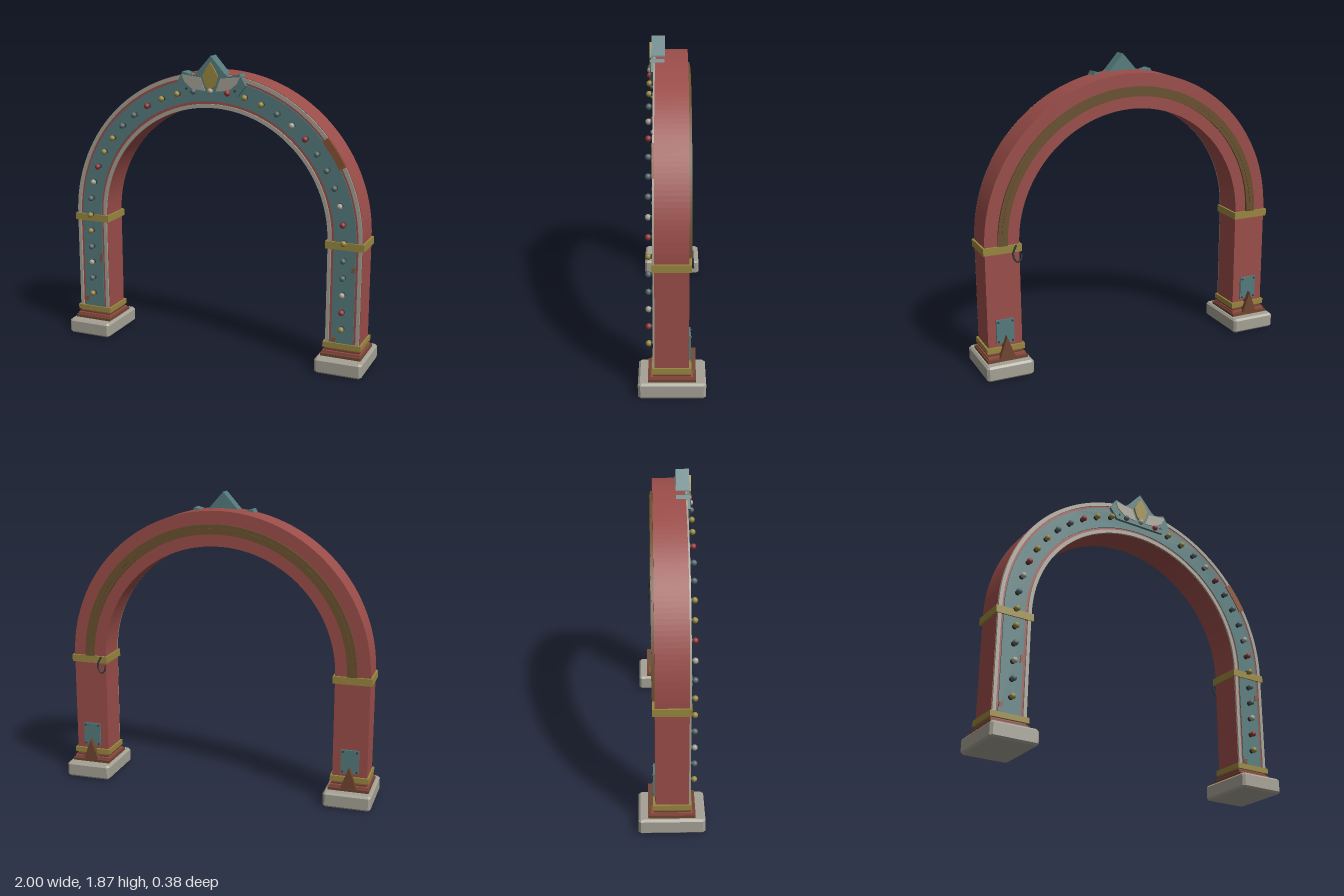
import * as THREE from 'three';

const paint = (name, color) => {
  const m = new THREE.MeshStandardMaterial({ color });
  m.name = name;
  return m;
};

const CY = 0.81;   // height of the arch centre
const LEG = 0.8525; // leg centre line
const FRONT = 0.097, BACK = -0.095;

export function createModel() {
  const root = new THREE.Group();
  root.name = 'festiveArch';
  const red = paint('faded red', 0x9a4d49);
  const teal = paint('teal', 0x557a7b);
  const stone = paint('pale stone', 0xa5a195);
  const gold = paint('old gold', 0x98873f);
  const brown = paint('brown', 0x70452f);
  const bronze = paint('dark bronze', 0x69502f);
  const iron = paint('dark iron', 0x35373b);
  const ruby = paint('ruby bulb', 0x963336);
  const steel = paint('blue grey bulb', 0x55686d);
  const rust = paint('rust', 0x8a5133);

  const add = (name, geo, mat, x = 0, y = 0, z = 0, parent = root) => {
    const m = new THREE.Mesh(geo, mat);
    m.name = name;
    m.position.set(x, y, z);
    parent.add(m);
    return m;
  };
  // box given by centre x, bottom, top, back and front
  const block = (name, mat, x, w, y0, y1, z0, z1, parent) =>
    add(name, new THREE.BoxGeometry(w, y1 - y0, z1 - z0), mat, x, (y0 + y1) / 2, (z0 + z1) / 2, parent);
  // flat polygon extruded from z0 to z1
  const plate = (name, mat, pts, z0, z1, parent) => {
    const s = new THREE.Shape(pts.map(p => new THREE.Vector2(...p)));
    return add(name, new THREE.ExtrudeGeometry(s, { depth: z1 - z0, bevelEnabled: false }), mat, 0, 0, z0, parent);
  };
  // sector of a ring around the arch centre
  const ring = (name, mat, r0, r1, z0, z1, a0 = 0, a1 = Math.PI, seg = 48) => {
    const s = new THREE.Shape();
    s.absarc(0, 0, r1, a0, a1, false);
    s.absarc(0, 0, r0, a1, a0, true);
    const g = new THREE.ExtrudeGeometry(s, { depth: z1 - z0, bevelEnabled: false, curveSegments: seg });
    return add(name, g, mat, 0, CY, z0);
  };
  const mirror = pts => pts.map(([x, y]) => [-x, y]).reverse();

  // Arch body, front panel, edge trims and rear rail
  ring('archBody', red, 0.745, 0.96, BACK, FRONT);
  ring('archPanel', teal, 0.785, 0.92, FRONT, 0.103);
  ring('archOuterTrim', stone, 0.934, 0.957, FRONT, 0.107);
  ring('archInnerTrim', stone, 0.746, 0.769, FRONT, 0.107);
  ring('rearRail', bronze, 0.82, 0.88, -0.108, BACK);
  ring('rearRailRib', bronze, 0.843, 0.857, -0.112, -0.108);
  ring('archRustPatch', rust, 0.915, 0.958, FRONT, 0.1095, 0.49, 0.7, 8);

  // Chamfered foot slab
  const footShape = new THREE.Shape();
  const fw = 0.1315, fd = 0.1765, c = 0.012;
  [[-fw, -fd - c], [fw, -fd - c], [fw + c, -fd], [fw + c, fd], [fw, fd + c], [-fw, fd + c], [-fw - c, fd], [-fw - c, -fd]]
    .forEach(([x, y], i) => (i ? footShape.lineTo(x, y) : footShape.moveTo(x, y)));
  const footGeo = new THREE.ExtrudeGeometry(footShape, {
    depth: 0.071, bevelEnabled: true, bevelThickness: 0.012, bevelSize: 0.012, bevelOffset: -0.008, bevelSegments: 1,
  }).rotateX(-Math.PI / 2).translate(0, 0.012, 0);

  for (const s of [-1, 1]) {
    const leg = new THREE.Group();
    leg.name = s < 0 ? 'rightLeg' : 'leftLeg';
    root.add(leg);
    const x = s * LEG;

    // Foot and stepped plinth
    add('footSlab', footGeo, stone, x, 0, 0, leg);
    block('plinthLower', brown, x, 0.252, 0.095, 0.112, -0.136, 0.136, leg);
    block('plinthMiddle', red, x, 0.236, 0.112, 0.126, -0.118, 0.118, leg);
    block('plinthUpper', brown, x, 0.222, 0.126, 0.136, -0.106, 0.106, leg);

    // Post with its front panel and trims
    block('post', red, x, 0.215, 0.1, CY, BACK, FRONT, leg);
    block('postPanel', teal, x, 0.137, 0.175, 0.765, FRONT, 0.103, leg);
    for (const t of [-1, 1]) block('postTrim', stone, x + t * 0.0945, 0.021, 0.175, 0.765, FRONT, 0.107, leg);

    // Gold collars
    block('lowerCollar', gold, x, 0.239, 0.145, 0.178, -0.109, 0.112, leg);
    block('upperCollar', gold, x, 0.239, 0.765, 0.81, -0.109, 0.112, leg);

    // Rear hatch with screws, and a gusset below it
    block('rearHatch', teal, x, 0.112, 0.2, 0.35, -0.106, BACK, leg);
    for (const i of [-1, 1]) for (const j of [-1, 1]) {
      add('hatchScrew', new THREE.CylinderGeometry(0.006, 0.006, 0.006, 8).rotateX(Math.PI / 2), iron,
        x + i * 0.044, 0.275 + j * 0.063, -0.108, leg);
    }
    plate('rearGusset', brown, [[x - 0.05, 0.11], [x + 0.05, 0.11], [x, 0.25]], -0.135, BACK, leg);
  }

  // Small rust flakes on the posts
  for (const [x, y, w, h] of [[-0.795, 0.52, 0.022, 0.055], [-0.908, 0.225, 0.026, 0.035],
    [0.908, 0.645, 0.024, 0.035], [0.803, 0.2, 0.026, 0.03]]) {
    plate('rustFlake', rust, [[x - w / 2, y - h / 2], [x + w / 4, y - h * 0.4], [x + w / 2, y + h / 2], [x - w / 3, y + h * 0.35]],
      FRONT, 0.1085);
  }

  // Lamps: dark socket and round bulb, up one leg, over the arch, down the other
  const socketGeo = new THREE.CylinderGeometry(0.012, 0.016, 0.022, 10).rotateX(Math.PI / 2);
  const bulbGeo = new THREE.SphereGeometry(0.018, 12, 8);
  const kinds = { g: gold, r: ruby, w: stone, s: steel };
  const spots = [];
  for (let i = 0; i < 5; i++) spots.push([-0.851, 0.275 + i * 0.107]);
  for (let i = 0; i <= 24; i++) {
    const a = Math.PI * (1 - i / 24);
    spots.push([0.851 * Math.cos(a), CY + 0.851 * Math.sin(a)]);
  }
  for (let i = 4; i >= 0; i--) spots.push([0.851, 0.275 + i * 0.107]);
  const order = 'gswsg' + 'gswrggssrggswrggswrssswrg' + 'sswrg';
  spots.forEach(([x, y], i) => {
    add('lampSocket', socketGeo, iron, x, y, 0.11);
    add('lampBulb', bulbGeo, kinds[order[i]], x, y, 0.131);
  });

  // Crest at the top of the arch
  const half = [[0.175, 1.635], [0.225, 1.7], [0.185, 1.77], [0.115, 1.75], [0.09, 1.768]];
  plate('crest', teal, [...half, [0, 1.87], ...mirror(half)], 0.042, 0.122);
  const wing = [[0.12, 1.668], [0.17, 1.71], [0.19, 1.752], [0.065, 1.738], [0.035, 1.66]];
  plate('crestWingLeft', stone, wing, 0.122, 0.128);
  plate('crestWingRight', stone, mirror(wing), 0.122, 0.128);
  const flame = [[0.03, 1.69], [0.05, 1.75], [0.026, 1.795]];
  plate('crestFlame', gold, [[0, 1.662], ...flame, [0, 1.832], ...mirror(flame)], 0.122, 0.134);
  for (const s of [-1, 1]) {
    add('crestScrew', new THREE.CylinderGeometry(0.007, 0.007, 0.008, 8).rotateX(Math.PI / 2), iron, s * 0.158, 1.668, 0.124);
  }

  // Iron hook hanging behind the left leg
  const loop = [[0.77, 0.81], [0.792, 0.76], [0.785, 0.725], [0.765, 0.705], [0.745, 0.72], [0.74, 0.755]]
    .map(([x, y]) => new THREE.Vector3(x, y, -0.113 + (y - 0.81) * 0.06));
  add('rearHook', new THREE.TubeGeometry(new THREE.CatmullRomCurve3(loop), 24, 0.006, 6), iron);

  return root;
}
